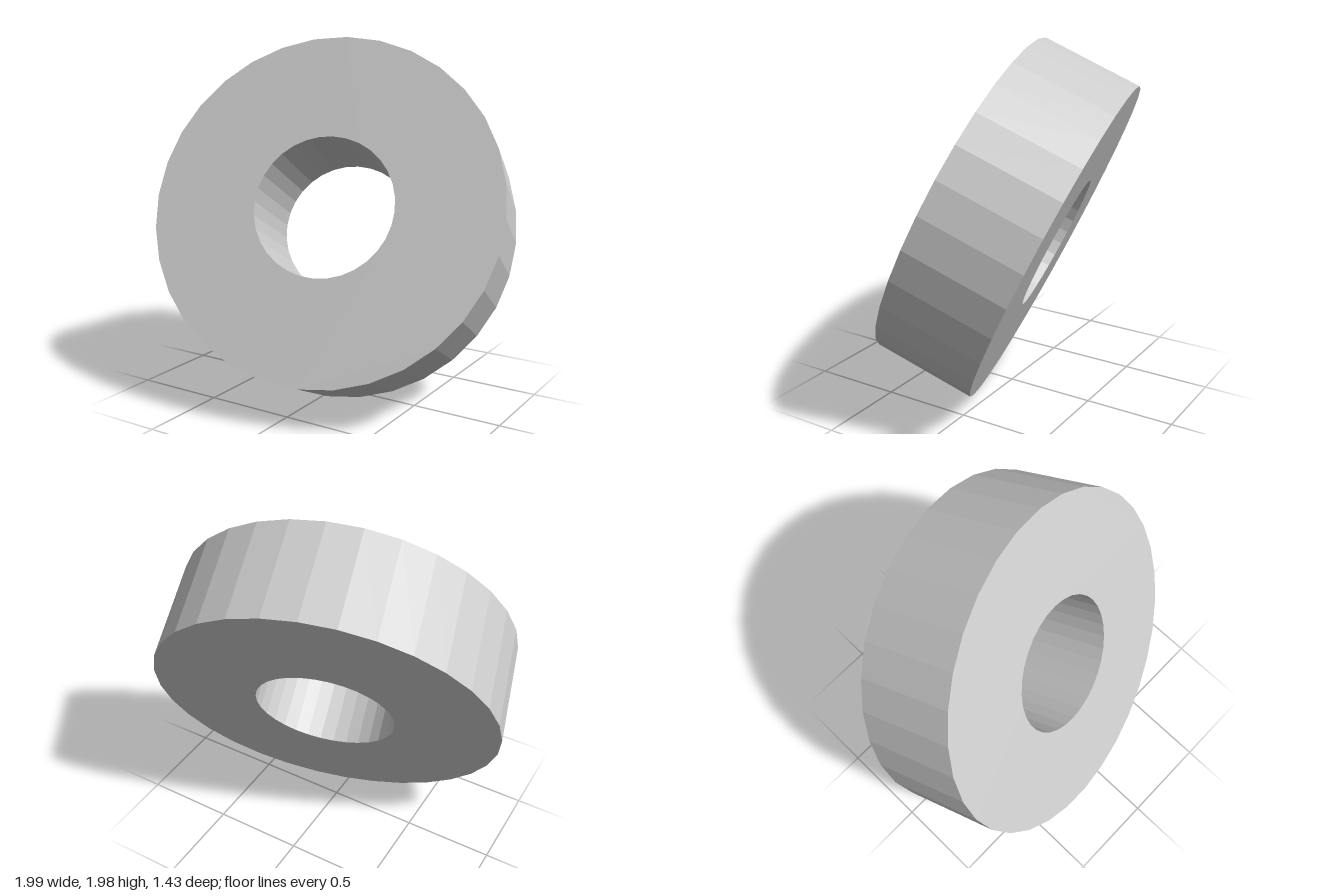
import * as THREE from 'three';

const OUTER = 0.959, INNER = 0.387, THICK = 0.568;

export function createModel() {
  const group = new THREE.Group();
  group.name = 'tiltedRing';

  // flat ring with a round bore, 32 sides
  const shape = new THREE.Shape().absarc(0, 0, OUTER, 0, Math.PI * 2, false);
  shape.holes.push(new THREE.Path().absarc(0, 0, INNER, 0, Math.PI * 2, true));
  const geometry = new THREE.ExtrudeGeometry(shape, {
    depth: THICK, curveSegments: 16, bevelEnabled: false,
  });
  geometry.translate(0, 0, -THICK / 2);

  const ring = new THREE.Mesh(
    geometry,
    new THREE.MeshStandardMaterial({ color: 0xcccccc, flatShading: true }),
  );
  ring.name = 'ring';

  // tilt: the bore axis leans up and to the left, with one rim corner near the top
  const axis = new THREE.Vector3(0.243, 0.42, 0.8745).normalize();
  const corner = new THREE.Vector3(-0.096, 0.88, -0.396).projectOnPlane(axis).normalize();
  const side = new THREE.Vector3().crossVectors(axis, corner);
  ring.quaternion.setFromRotationMatrix(new THREE.Matrix4().makeBasis(corner, side, axis));
  ring.position.y = 0.998;

  group.add(ring);
  return group;
}
